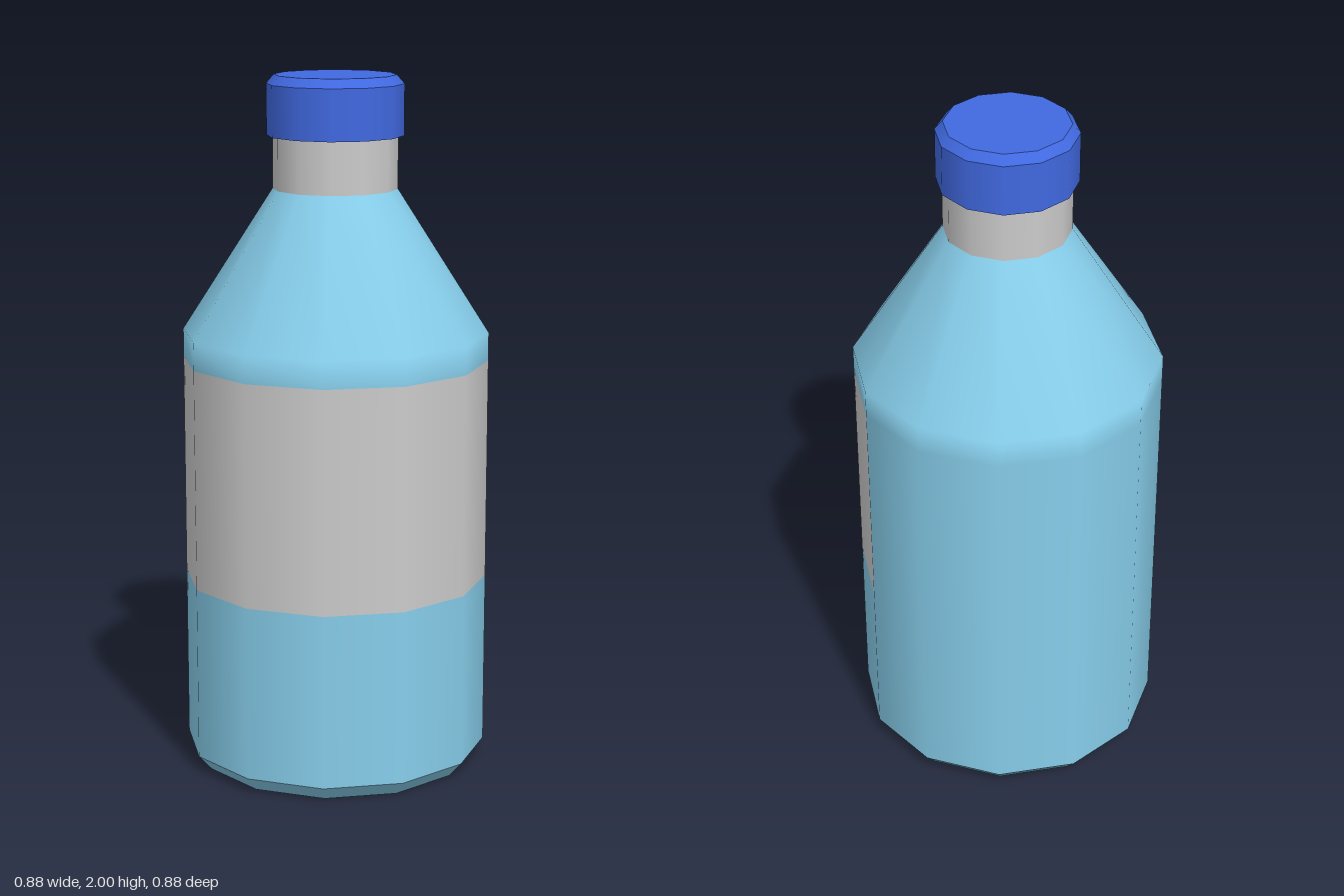
import * as THREE from 'three';

const SIDES = 12;
const STEP = (Math.PI * 2) / SIDES;

export function createModel() {
  const group = new THREE.Group();
  group.name = 'bottle';

  const material = (color) => new THREE.MeshStandardMaterial({ color, side: THREE.DoubleSide });
  const blue = material(0x87ceeb);
  const grey = material(0xcccccc);
  const capBlue = material(0x4169e1);

  // Turned band from a [radius, height] profile, over whole sides of the twelve-sided bottle
  function band(name, mat, profile, firstSide = 0, sides = SIDES) {
    const points = profile.map(([r, y]) => new THREE.Vector2(r, y));
    const mesh = new THREE.Mesh(new THREE.LatheGeometry(points, sides, firstSide * STEP, sides * STEP), mat);
    mesh.name = name;
    group.add(mesh);
  }

  // Body: separate bands keep the base edges sharp, the shoulder is smooth
  band('base', blue, [[0, 0], [0.4, 0]]);
  band('baseBevel', blue, [[0.4, 0], [0.44, 0.045]]);
  band('lowerBody', blue, [[0.44, 0.045], [0.44, 0.55]]);
  band('shoulder', blue, [[0.44, 1.19], [0.44, 1.27], [0.178, 1.68]]);

  // Label wraps seven sides, the bare wall fills the other five
  band('label', grey, [[0.44, 0.55], [0.44, 1.19]], -3, 7);
  band('backWall', blue, [[0.44, 0.55], [0.44, 1.19]], 4, 5);

  // Neck
  band('neck', grey, [[0.178, 1.68], [0.178, 1.83]]);

  // Cap
  band('capUnderside', capBlue, [[0.17, 1.83], [0.195, 1.83]]);
  band('capSide', capBlue, [[0.195, 1.83], [0.195, 1.975]]);
  band('capBevel', capBlue, [[0.195, 1.975], [0.173, 2]]);
  band('capTop', capBlue, [[0.173, 2], [0, 2]]);

  return group;
}
